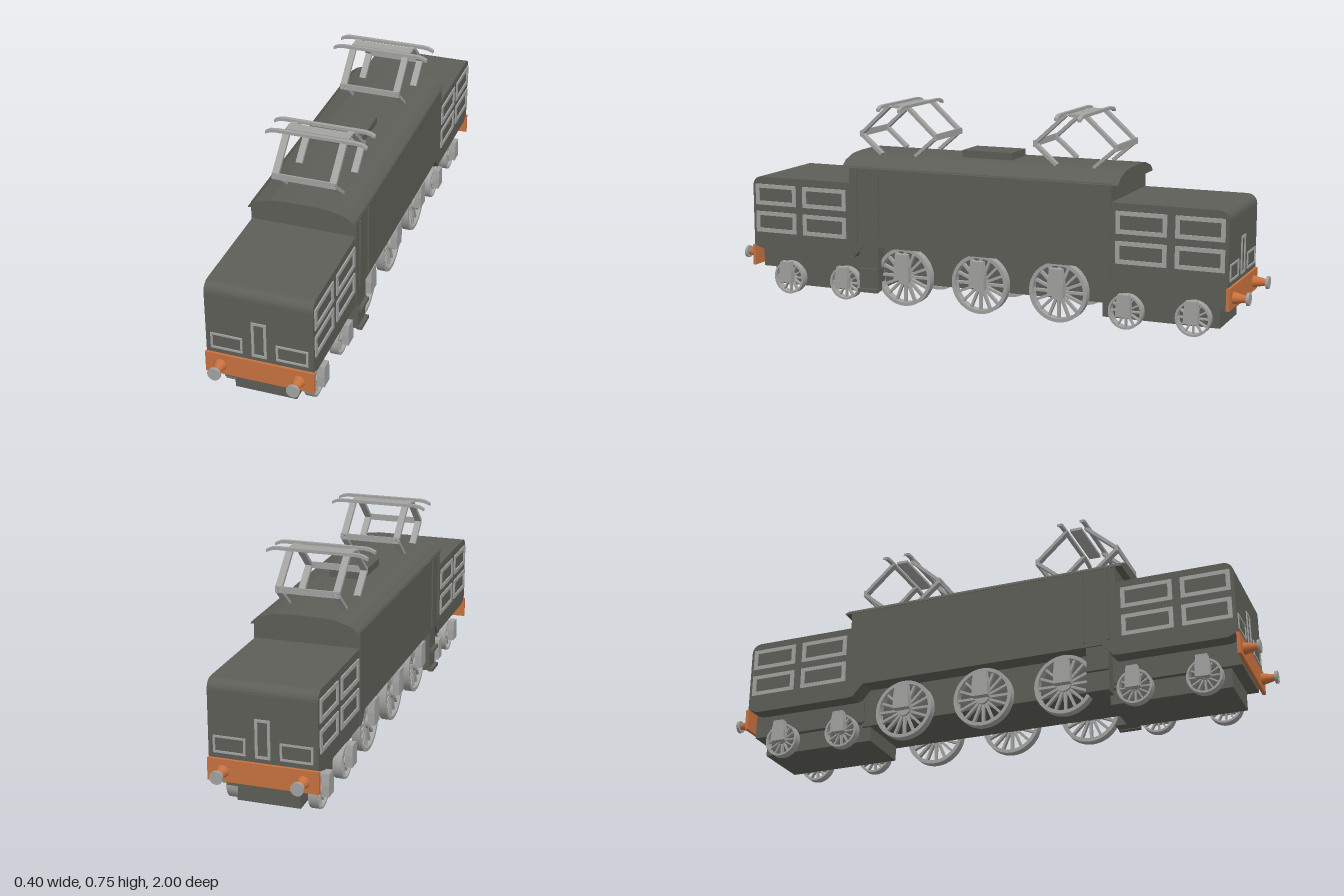
import * as THREE from 'three';

const dark = new THREE.MeshStandardMaterial({ color: 0x5d5e57 });
dark.name = 'dark grey';
const steel = new THREE.MeshStandardMaterial({ color: 0xa2a2a1 });
steel.name = 'light grey';
const orange = new THREE.MeshStandardMaterial({ color: 0xc8713f });
orange.name = 'orange';

function add(parent, name, geometry, material, x = 0, y = 0, z = 0) {
  const mesh = new THREE.Mesh(geometry, material);
  mesh.name = name;
  mesh.position.set(x, y, z);
  parent.add(mesh);
  return mesh;
}

// Box given by its limits on each axis
function block(parent, name, material, x0, x1, y0, y1, z0, z1) {
  return add(parent, name, new THREE.BoxGeometry(x1 - x0, y1 - y0, z1 - z0), material,
    (x0 + x1) / 2, (y0 + y1) / 2, (z0 + z1) / 2);
}

// Outline in (z, y) extruded across x
function sideProfile(points, halfWidth) {
  const shape = new THREE.Shape(points.map(([z, y]) => new THREE.Vector2(-z, y)));
  const g = new THREE.ExtrudeGeometry(shape, { depth: halfWidth * 2, bevelEnabled: false });
  return g.translate(0, 0, -halfWidth).rotateY(Math.PI / 2);
}

// Thin rectangular frame, facing +z
function frameGeometry(w, h, border) {
  const rect = (a, b, path) => path.moveTo(-a, -b).lineTo(a, -b).lineTo(a, b).lineTo(-a, b).closePath();
  const shape = rect(w / 2, h / 2, new THREE.Shape());
  shape.holes.push(rect(w / 2 - border, h / 2 - border, new THREE.Path()));
  return new THREE.ExtrudeGeometry(shape, { depth: 0.006, bevelEnabled: false });
}

// Flat bar between two (z, y) points
function bar(parent, name, x, width, thick, [z0, y0], [z1, y1]) {
  const length = Math.hypot(z1 - z0, y1 - y0);
  const mesh = add(parent, name, new THREE.BoxGeometry(width, thick, length), steel,
    x, (y0 + y1) / 2, (z0 + z1) / 2);
  mesh.rotation.x = -Math.atan2(y1 - y0, z1 - z0);
}

// Spoked wheel turning about x
function wheel(radius, spokes) {
  const g = new THREE.Group();
  g.name = 'spokedWheel';
  const rim = new THREE.Shape().absarc(0, 0, radius, 0, Math.PI * 2);
  rim.holes.push(new THREE.Path().absarc(0, 0, radius * 0.88, 0, Math.PI * 2, true));
  const rimGeo = new THREE.ExtrudeGeometry(rim, { depth: 0.032, bevelEnabled: false, curveSegments: 32 });
  add(g, 'rim', rimGeo.translate(0, 0, -0.016).rotateY(Math.PI / 2), steel);
  add(g, 'hub', new THREE.CylinderGeometry(radius * 0.24, radius * 0.24, 0.034, 20).rotateZ(Math.PI / 2), steel);
  for (let i = 0; i < spokes; i++) {
    const spoke = new THREE.BoxGeometry(0.014, radius * 0.75, radius * 0.085);
    spoke.translate(0, radius * 0.53, 0).rotateX((i / spokes) * Math.PI * 2);
    add(g, 'spoke', spoke, steel);
  }
  return g;
}

function axle(parent, z, radius, spokes) {
  add(parent, 'axle', new THREE.CylinderGeometry(0.008, 0.008, 0.28, 12).rotateZ(Math.PI / 2), steel, 0, radius, z);
  const big = radius > 0.1;
  for (const s of [-1, 1]) {
    const w = wheel(radius, spokes);
    w.position.set(s * 0.143, radius, z);
    parent.add(w);
    // axle box narrows towards its top
    const [y0, y1, a, b] = big ? [0.105, 0.2, 0.03, 0.023] : [0.05, 0.13, 0.026, 0.02];
    const box = sideProfile([[-a, y0], [-a, (y0 + y1) / 2], [-b, y1], [b, y1], [a, (y0 + y1) / 2], [a, y0]].reverse(), 0.013);
    add(parent, 'axleBox', box, steel, s * 0.173, 0, z);
  }
}

// Hood with panels, buffer beam and buffers, facing +z
function hoodEnd() {
  const g = new THREE.Group();
  g.name = 'hoodEnd';
  const outline = [[0.5, 0.175], [0.9, 0.175], [0.935, 0.19]];
  for (let i = 0; i <= 6; i++) {
    const a = (i / 6) * Math.PI / 2;
    outline.push([0.9 + 0.035 * Math.cos(a), 0.421 + 0.035 * Math.sin(a)]);
  }
  outline.push([0.5, 0.456]);
  add(g, 'hood', sideProfile(outline, 0.188), dark);
  for (const s of [-1, 1]) {
    for (const [z, w] of [[0.835, 0.175], [0.625, 0.185]]) {
      for (const y of [0.388, 0.282]) {
        const f = add(g, 'sideGrilleFrame', frameGeometry(w, 0.08, 0.015), steel, s * 0.187, y, z);
        f.rotation.y = s * Math.PI / 2;
      }
    }
    add(g, 'endGrilleFrame', frameGeometry(0.112, 0.06, 0.007), steel, s * 0.115, 0.238, 0.933);
    // buffer
    add(g, 'bufferStem', new THREE.CylinderGeometry(0.011, 0.022, 0.05, 20).rotateX(Math.PI / 2), orange, s * 0.138, 0.147, 0.966);
    add(g, 'bufferHead', new THREE.CylinderGeometry(0.023, 0.023, 0.01, 24).rotateX(Math.PI / 2), steel, s * 0.138, 0.147, 0.995);
  }
  add(g, 'endDoorFrame', frameGeometry(0.052, 0.135, 0.009), steel, 0, 0.273, 0.933);
  block(g, 'bufferBeam', orange, -0.192, 0.192, 0.11, 0.188, 0.93, 0.942);
  // running gear under the hood
  block(g, 'endFrame', dark, -0.13, 0.13, 0.095, 0.18, 0.48, 0.93);
  block(g, 'bogieFrame', dark, -0.11, 0.11, 0.026, 0.096, 0.46, 0.89);
  axle(g, 0.805, 0.063, 12);
  axle(g, 0.56, 0.063, 12);
  return g;
}

function pantograph() {
  const g = new THREE.Group();
  g.name = 'pantograph';
  for (const s of [-1, 1]) {
    const base = [s * 0.07, 0.56], elbow = [s * 0.155, 0.633], top = [s * 0.035, 0.742];
    for (const x of [-0.103, 0.103]) {
      bar(g, 'lowerArm', x, 0.024, 0.012, base, elbow);
      bar(g, 'upperArm', x, 0.024, 0.012, elbow, top);
    }
    block(g, 'elbowBar', steel, -0.115, 0.115, 0.622, 0.645, s * 0.155 - 0.003, s * 0.155 + 0.003);
    // contact bow with drooping ends
    const bow = new THREE.Shape([[-0.183, 0.728], [-0.165, 0.736], [-0.145, 0.739], [0.145, 0.739], [0.165, 0.736],
      [0.183, 0.728], [0.183, 0.738], [0.165, 0.747], [0.145, 0.75], [-0.145, 0.75], [-0.165, 0.747], [-0.183, 0.738]]
      .map(p => new THREE.Vector2(...p)));
    add(g, 'contactBow', new THREE.ExtrudeGeometry(bow, { depth: 0.014, bevelEnabled: false }), steel, 0.004, 0, s * 0.043 - 0.007);
  }
  block(g, 'topPlate', steel, -0.115, 0.115, 0.735, 0.745, -0.022, 0.022);
  return g;
}

export function createModel() {
  const model = new THREE.Group();
  model.name = 'electricLocomotive';

  // Both ends
  const front = hoodEnd();
  const rear = hoodEnd();
  rear.rotation.y = Math.PI;
  model.add(front, rear);

  // Cab body with raised lower edge over the wheels
  const body = [[-0.515, 0.175], [-0.5, 0.175], [-0.46, 0.22], [0.46, 0.22], [0.5, 0.175], [0.515, 0.175], [0.515, 0.52], [-0.515, 0.52]];
  add(model, 'cabBody', sideProfile(body, 0.191), dark);

  // Curved roof
  const half = [[0.193, 0.515], [0.188, 0.523], [0.166, 0.54], [0.11, 0.557], [0.05, 0.561]];
  const roof = new THREE.Shape([...half, ...half.map(([x, y]) => [-x, y]).reverse()].map(p => new THREE.Vector2(...p)));
  add(model, 'roof', new THREE.ExtrudeGeometry(roof, { depth: 1.082, bevelEnabled: false }), dark, 0, 0, -0.541);
  block(model, 'roofHatch', dark, -0.064, 0.064, 0.555, 0.587, -0.09, 0.108);

  for (const z of [-0.35, 0.35]) {
    const p = pantograph();
    p.position.z = z;
    model.add(p);
  }

  // Main frame and driving wheels
  block(model, 'mainFrame', dark, -0.122, 0.122, 0.08, 0.225, -0.49, 0.49);
  for (const z of [-0.307, 0, 0.307]) axle(model, z, 0.11, 16);

  // Cab doors, handrails and steps
  for (const s of [-1, 1]) {
    for (const z of [0.395, 0.485]) add(model, 'handrail', new THREE.BoxGeometry(0.006, 0.27, 0.006), dark, s * 0.194, 0.37, z);
    add(model, 'stepBack', new THREE.BoxGeometry(0.05, 0.17, 0.08), dark, s * 0.16, 0.135, 0.44);
    for (const y of [0.053, 0.131]) add(model, 'step', new THREE.BoxGeometry(0.02, 0.013, 0.08), dark, s * 0.189, y, 0.44);
  }
  return model;
}
